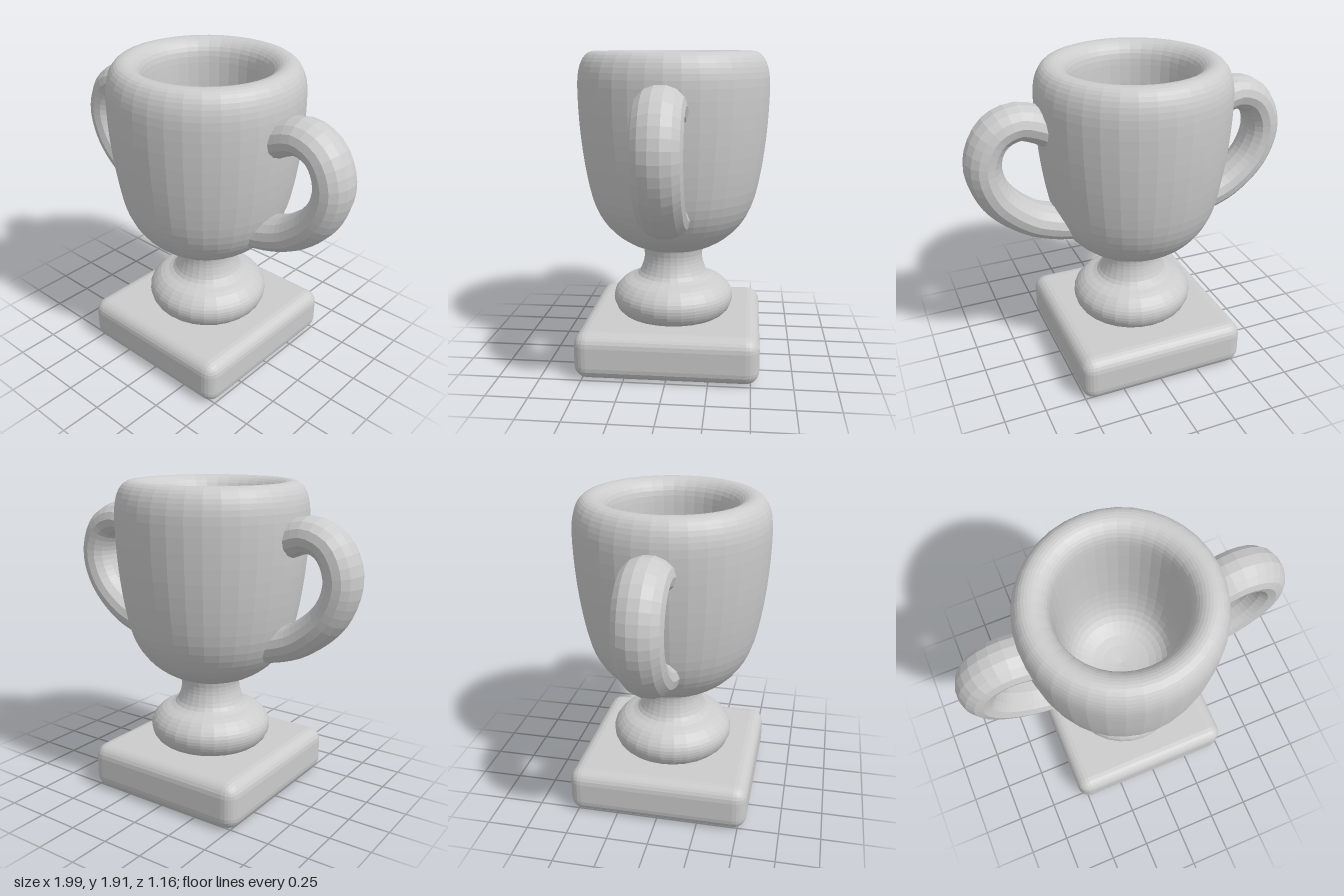
import * as THREE from 'three';
import { RoundedBoxGeometry } from 'three/addons/geometries/RoundedBoxGeometry.js';

const material = new THREE.MeshStandardMaterial({ color: 0xcccccc, flatShading: true });

function part(name, geometry, x = 0, y = 0, z = 0) {
  const mesh = new THREE.Mesh(geometry, material);
  mesh.name = name;
  mesh.position.set(x, y, z);
  return mesh;
}

// Smooth profile through [radius, height] points, turned around the y axis
function turned(points, steps, sides) {
  const curve = new THREE.SplineCurve(points.map(([r, y]) => new THREE.Vector2(r, y)));
  const profile = curve.getPoints(steps);
  profile.forEach((p) => { p.x = Math.max(p.x, 0); });
  return new THREE.LatheGeometry(profile, sides);
}

// Ear-shaped handle with an oval section; side is +1 or -1
function handleGeometry(side) {
  const path = [
    [0.46, 1.55], [0.57, 1.61], [0.69, 1.64], [0.82, 1.58], [0.89, 1.41],
    [0.83, 1.21], [0.66, 1.05], [0.52, 0.99], [0.39, 0.96],
  ].map(([x, y]) => new THREE.Vector3(side * x, y, 0));
  const geometry = new THREE.TubeGeometry(new THREE.CatmullRomCurve3(path), 28, 0.106, 14);
  geometry.scale(1, 1, 1.31);
  geometry.computeVertexNormals();
  return geometry;
}

export function createModel() {
  const trophy = new THREE.Group();
  trophy.name = 'trophyCup';

  // Square plinth with soft edges
  trophy.add(part('base', new RoundedBoxGeometry(1.06, 0.285, 1.1, 3, 0.08), -0.015, 0.1425, 0));

  // Bulging foot running up into the neck
  trophy.add(part('footAndNeck', turned([
    [0.3, 0.27], [0.35, 0.31], [0.375, 0.37], [0.365, 0.43], [0.31, 0.49],
    [0.225, 0.53], [0.19, 0.6], [0.182, 0.67], [0.2, 0.75],
  ], 24, 28), -0.01));

  // Hollow cup: outer wall, thick rolled rim, then the inside down to its floor
  trophy.add(part('cup', turned([
    [0, 0.7], [0.18, 0.705], [0.31, 0.76], [0.42, 0.86], [0.495, 1.0], [0.54, 1.2],
    [0.57, 1.45], [0.58, 1.7], [0.565, 1.82], [0.525, 1.89], [0.47, 1.91],
    [0.415, 1.89], [0.375, 1.83], [0.362, 1.7], [0.355, 1.45], [0.34, 1.2],
    [0.29, 1.03], [0.18, 0.95], [0, 0.92],
  ], 56, 36), -0.02));

  // Pair of handles
  trophy.add(part('leftHandle', handleGeometry(1)));
  trophy.add(part('rightHandle', handleGeometry(-1)));

  return trophy;
}
